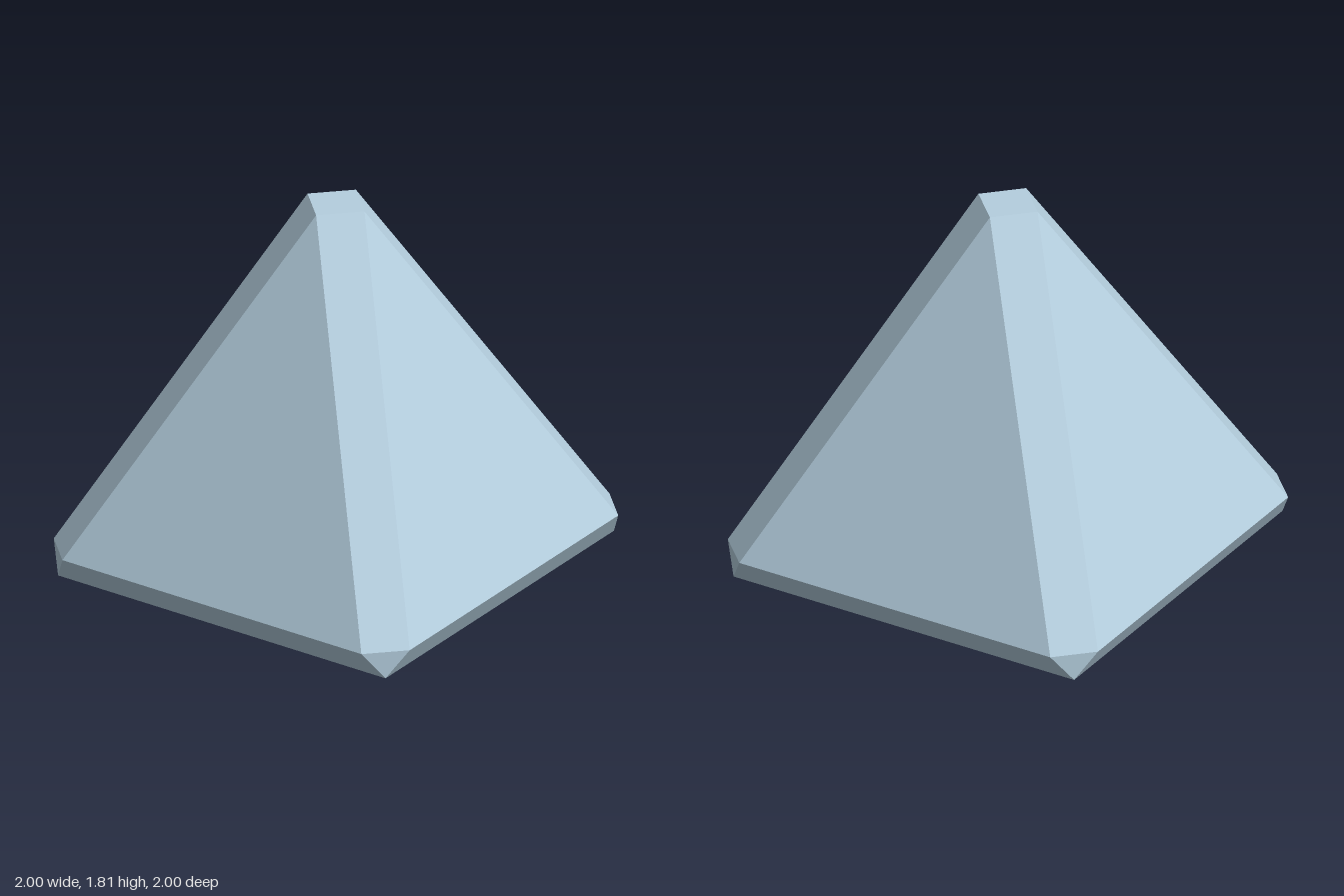
import * as THREE from 'three';

// One quarter of the bevelled pyramid, repeated around the vertical axis.
const BASE = 0.92, RIM_Y = 0.135, RIM = 1, RIM_CUT = 0.84, TOP = 0.16, TOP_Y = 1.81;

function bevelledPyramid() {
  const baseL = [-BASE, 0, BASE], baseR = [BASE, 0, BASE];
  const rimL = [-RIM_CUT, RIM_Y, RIM], rimR = [RIM_CUT, RIM_Y, RIM];
  const rimSide = [RIM, RIM_Y, RIM_CUT];
  const topFront = [0, TOP_Y, TOP], topSide = [TOP, TOP_Y, 0];
  const faces = [
    [rimL, rimR, topFront],                // sloping side
    [rimR, rimSide, topSide, topFront],    // bevelled sloping edge
    [baseL, baseR, rimR, rimL],            // undercut along the base
    [baseR, rimSide, rimR],                // corner facet
    [[0, TOP_Y, 0], topFront, topSide],    // quarter of the flat tip
    [[0, 0, 0], baseR, baseL],             // quarter of the underside
  ];
  const positions = [];
  for (let q = 0; q < 4; q++) {
    const c = [1, 0, -1, 0][q], s = [0, 1, 0, -1][q];
    const add = ([x, y, z]) => positions.push(x * c + z * s, y, z * c - x * s);
    for (const f of faces) {
      for (let i = 1; i < f.length - 1; i++) [f[0], f[i], f[i + 1]].forEach(add);
    }
  }
  const geometry = new THREE.BufferGeometry();
  geometry.setAttribute('position', new THREE.Float32BufferAttribute(positions, 3));
  geometry.computeVertexNormals(); // unshared corners keep every facet flat
  return geometry;
}

export function createModel() {
  const group = new THREE.Group();
  group.name = 'bevelledPyramid';
  const paleBlue = new THREE.MeshStandardMaterial({ color: 0xb5cfdf });
  paleBlue.name = 'pale blue';
  const body = new THREE.Mesh(bevelledPyramid(), paleBlue);
  body.name = 'pyramidBody';
  group.add(body);
  return group;
}
